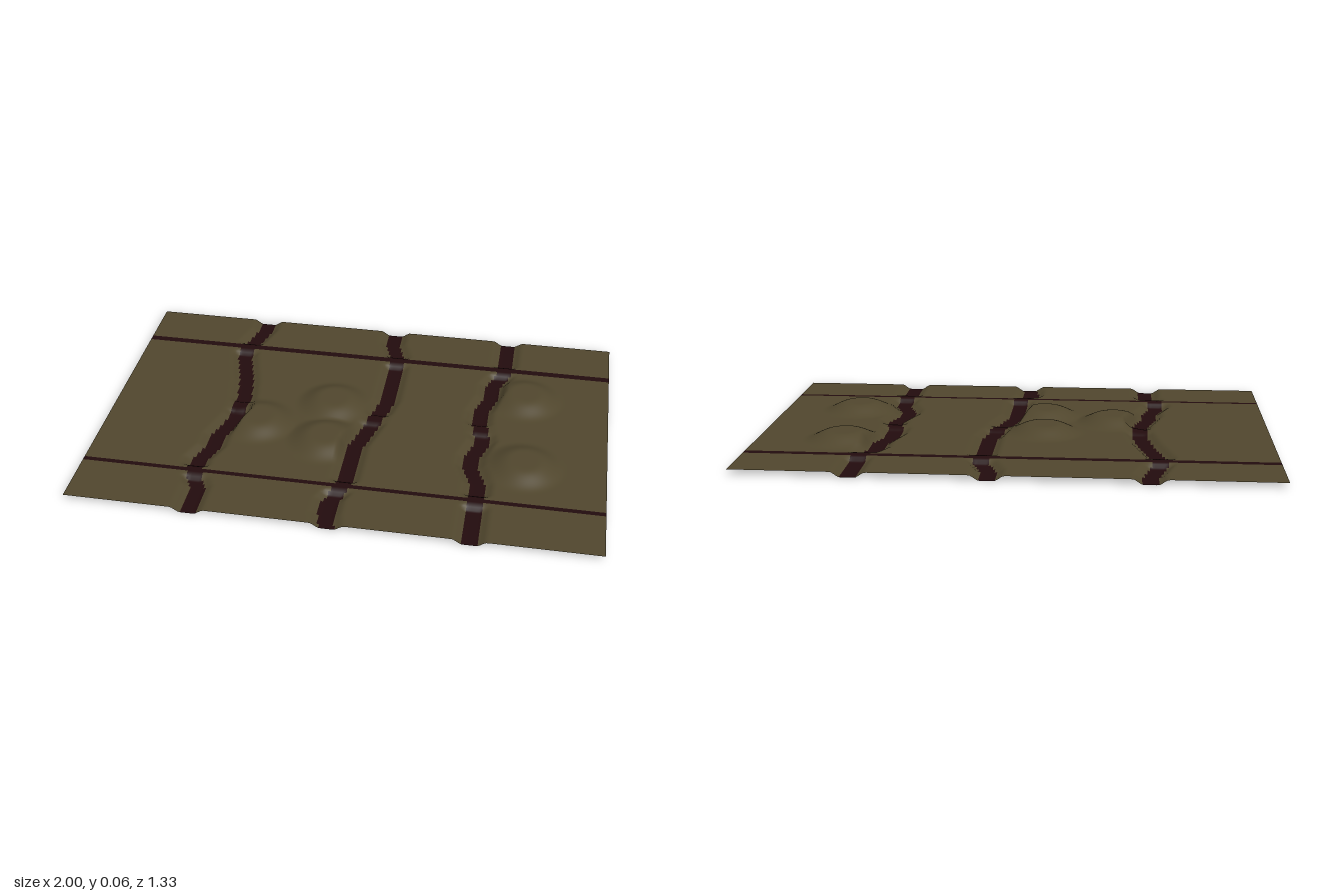
import * as THREE from 'three';

const HALF_Z = 0.667, COLS = 200, ROWS = 134;
const GROUND = 0.022, BED = 0.002, HILL = 0.036;

// Winding trenches: [x, z] along each centre line
const trenches = [
  [[-.52, -.667], [-.52, -.6], [-.56, -.46], [-.56, -.38], [-.51, -.2], [-.485, -.05], [-.485, .05],
    [-.53, .2], [-.53, .27], [-.565, .36], [-.56, .44], [-.525, .52], [-.525, .667]],
  [[.06, -.667], [.06, -.58], [.1, -.47], [.1, -.15], [.07, 0], [.02, .18], [.02, .43],
    [-.015, .52], [-.015, .6], [0, .667]],
  [[.56, -.667], [.56, -.42], [.52, -.33], [.52, -.25], [.485, -.13], [.485, -.07], [.515, .06],
    [.48, .17], [.48, .23], [.52, .33], [.52, .667]],
];
// Straight roads: [z, half width]
const roads = [[-.44, .0135], [.435, .011]];
// Level crossings over the trenches: [z, how far the bed is raised]
const crossings = [[-.44, 1], [.437, 1], [-.015, .6]];
// Flat-topped hills: [x, z]
const hills = [[-.385, .09], [-.11, -.08], [-.1, .17], [.66, -.24], [.685, .21]];

const { smoothstep, lerp } = THREE.MathUtils;

function centreX(line, z) {
  let i = 1;
  while (i < line.length - 1 && z > line[i][1]) i++;
  const [x0, z0] = line[i - 1], [x1, z1] = line[i];
  return lerp(x0, x1, THREE.MathUtils.clamp((z - z0) / (z1 - z0), 0, 1));
}

const trenchDistance = (x, z) => Math.min(...trenches.map(line => Math.abs(x - centreX(line, z))));

function height(x, z) {
  let hill = 0;
  for (const [hx, hz] of hills) {
    hill = Math.max(hill, 1 - smoothstep(Math.hypot(x - hx, z - hz), 0.055, 0.16));
  }
  let dig = 1 - smoothstep(trenchDistance(x, z), 0.025, 0.065);
  for (const [cz, raise] of crossings) {
    dig *= 1 - raise * (1 - smoothstep(Math.abs(z - cz), 0.02, 0.045));
  }
  return lerp(GROUND + HILL * hill, BED, dig);
}

const isPath = (x, z) => trenchDistance(x, z) < 0.03 || roads.some(([rz, w]) => Math.abs(z - rz) < w);

export function createModel() {
  const group = new THREE.Group();
  group.name = 'terrain';

  // Shaped height field
  const land = new THREE.PlaneGeometry(2, 2 * HALF_Z, COLS, ROWS).rotateX(-Math.PI / 2);
  const p = land.attributes.position;
  for (let i = 0; i < p.count; i++) p.setY(i, height(p.getX(i), p.getZ(i)));
  land.computeVertexNormals();

  // Sort its cells into open ground and dark paths
  const index = land.index.array, ground = [], paths = [];
  for (let i = 0; i < index.length; i += 6) {
    const a = index[i + 2], c = index[i];
    const d = index[i + 5];
    const x = (p.getX(c) + p.getX(d)) / 2;
    const z = (p.getZ(c) + p.getZ(index[i + 1])) / 2;
    (isPath(x, z) ? paths : ground).push(c, index[i + 1], a, index[i + 3], index[i + 4], d);
  }

  const addSurface = (name, cells, material) => {
    const geometry = new THREE.BufferGeometry();
    geometry.setAttribute('position', p);
    geometry.setAttribute('normal', land.attributes.normal);
    geometry.setIndex(cells);
    const mesh = new THREE.Mesh(geometry, material);
    mesh.name = name;
    group.add(mesh);
  };
  const earth = new THREE.MeshStandardMaterial({ color: 0x50462d, side: THREE.DoubleSide });
  earth.name = 'olive earth';
  const mud = new THREE.MeshStandardMaterial({ color: 0x220b0d, side: THREE.DoubleSide });
  mud.name = 'dark mud';
  addSurface('ground', ground, earth);
  addSurface('trenchesAndRoads', paths, mud);
  return group;
}
